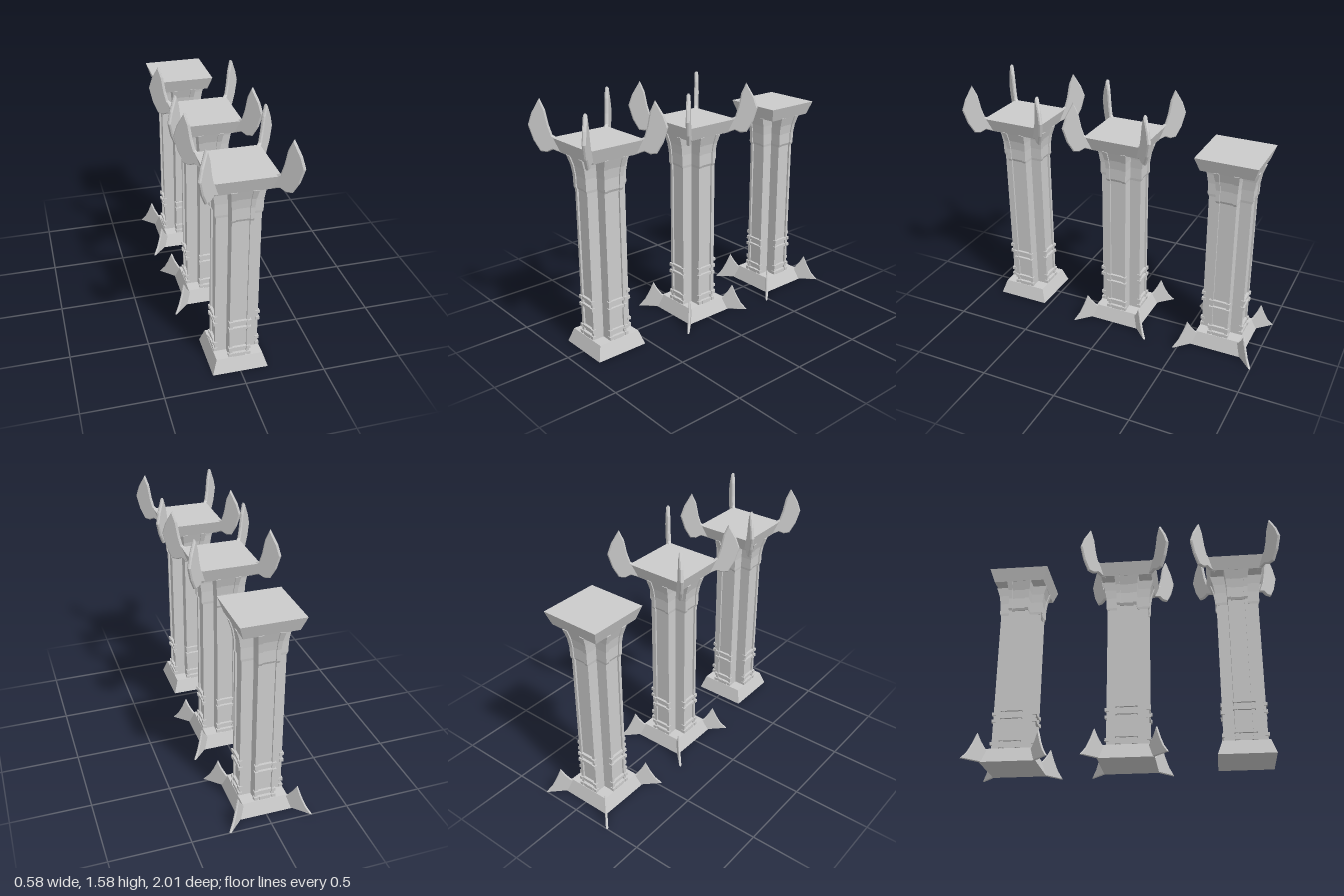
import * as THREE from 'three';

const material = new THREE.MeshStandardMaterial({ color: 0xcccccc, flatShading: true });

function addMesh(parent, name, geometry) {
  const mesh = new THREE.Mesh(geometry, material);
  mesh.name = name;
  parent.add(mesh);
  return mesh;
}

// Cross-shaped ring: four arms with recessed end panels and a square notch at each corner
function ring({ y, a, w, inner, depth }) {
  const arm = [[a, -w], [a, -inner], [a - depth, -inner], [a - depth, inner], [a, inner], [a, w], [w, w]];
  const points = [];
  for (let k = 0; k < 4; k++) {
    const c = Math.round(Math.cos(k * Math.PI / 2)), s = Math.round(Math.sin(k * Math.PI / 2));
    for (const [x, z] of arm) points.push(new THREE.Vector3(x * c - z * s, y, x * s + z * c));
  }
  return points;
}

// Join rings from bottom to top and close both ends
function loft(sections) {
  const rings = sections.map(ring);
  const n = rings[0].length, corners = [];
  for (let j = 0; j < rings.length - 1; j++) {
    for (let i = 0; i < n; i++) {
      const k = (i + 1) % n, lo = rings[j], hi = rings[j + 1];
      corners.push(lo[i], hi[i], lo[k], lo[k], hi[i], hi[k]);
    }
  }
  const bottom = rings[0], top = rings[rings.length - 1];
  const c0 = new THREE.Vector3(0, bottom[0].y, 0), c1 = new THREE.Vector3(0, top[0].y, 0);
  for (let i = 0; i < n; i++) {
    const k = (i + 1) % n;
    corners.push(c0, bottom[i], bottom[k], c1, top[k], top[i]);
  }
  const geometry = new THREE.BufferGeometry().setFromPoints(corners);
  geometry.computeVertexNormals();
  return geometry;
}

// Square block with sloping sides
function squareFrustum(y0, y1, half0, half1) {
  const g = new THREE.CylinderGeometry(half1 * Math.SQRT2, half0 * Math.SQRT2, y1 - y0, 4);
  return g.rotateY(Math.PI / 4).translate(0, (y0 + y1) / 2, 0);
}

// Thin bevelled blade; outline is [x, y] before being turned onto the diagonal
function blade(outline, thickness) {
  const shape = new THREE.Shape(outline.map(([x, y]) => new THREE.Vector2(x * Math.SQRT2, y)));
  const b = thickness * 0.3, depth = thickness - 2 * b;
  const g = new THREE.ExtrudeGeometry(shape, {
    depth, bevelEnabled: true, bevelSegments: 1, bevelThickness: b, bevelSize: b, bevelOffset: -b
  });
  return g.translate(0, 0, -depth / 2);
}

const shaftGeometry = loft([
  { y: 0.08, a: 0.135, w: 0.063, inner: 0.044, depth: 0.012 },
  { y: 1.07, a: 0.135, w: 0.063, inner: 0.044, depth: 0.012 }
]);

const flareGeometry = loft([
  { y: 1.052, a: 0.136, w: 0.064, inner: 0.042, depth: 0.008 },
  { y: 1.068, a: 0.143, w: 0.066, inner: 0.042, depth: 0.008 },
  { y: 1.14, a: 0.144, w: 0.067, inner: 0.042, depth: 0.008 },
  { y: 1.2, a: 0.153, w: 0.072, inner: 0.044, depth: 0.008 },
  { y: 1.262, a: 0.173, w: 0.081, inner: 0.047, depth: 0.008 }
]);

const hornGeometry = blade([
  [0.14, 1.247], [0.19, 1.273], [0.215, 1.257], [0.243, 1.262], [0.27, 1.33], [0.289, 1.42],
  [0.272, 1.49], [0.236, 1.577], [0.215, 1.51], [0.203, 1.42], [0.19, 1.36], [0.16, 1.335]
], 0.024);

const clawGeometry = blade([
  [0.15, 0], [0.263, 0], [0.234, 0.05], [0.212, 0.11], [0.191, 0.182],
  [0.172, 0.135], [0.15, 0.095], [0.135, 0.08]
], 0.015);

// One blade on each corner
function corners(parent, name, geometry) {
  for (let k = 0; k < 4; k++) {
    addMesh(parent, name, geometry).rotation.y = Math.PI / 4 + k * Math.PI / 2;
  }
}

function pillar(hasHorns, hasClaws) {
  const group = new THREE.Group();
  addMesh(group, 'base', squareFrustum(0, 0.092, 0.175, 0.145));
  addMesh(group, 'shaft', shaftGeometry);
  addMesh(group, 'flaredCapital', flareGeometry);
  addMesh(group, 'topSlab', squareFrustum(1.258, 1.345, 0.166, 0.195));

  // Clamps across the four arms, with raised blocks over the edge strips
  for (let k = 0; k < 4; k++) {
    const face = new THREE.Group();
    face.name = 'faceBands';
    face.rotation.y = k * Math.PI / 2;
    for (const y of [0.107, 0.152, 0.3, 0.348]) {
      addMesh(face, 'band', new THREE.BoxGeometry(0.1, 0.018, 0.02).translate(0, y, 0.13));
      for (const s of [-1, 1]) {
        addMesh(face, 'bandEnd', new THREE.BoxGeometry(0.024, 0.021, 0.026).translate(s * 0.057, y, 0.132));
      }
    }
    addMesh(face, 'foot', new THREE.BoxGeometry(0.07, 0.03, 0.02).translate(0, 0.1, 0.132));
    group.add(face);
  }

  if (hasHorns) corners(group, 'horn', hornGeometry);
  if (hasClaws) corners(group, 'claw', clawGeometry);
  return group;
}

export function createModel() {
  const model = new THREE.Group();
  model.name = 'pillars';
  const rows = [
    ['frontPillar', 0.711, true, false],
    ['middlePillar', -0.012, true, true],
    ['backPillar', -0.737, false, true]
  ];
  for (const [name, z, horns, claws] of rows) {
    const p = pillar(horns, claws);
    p.name = name;
    p.position.z = z;
    model.add(p);
  }
  return model;
}
